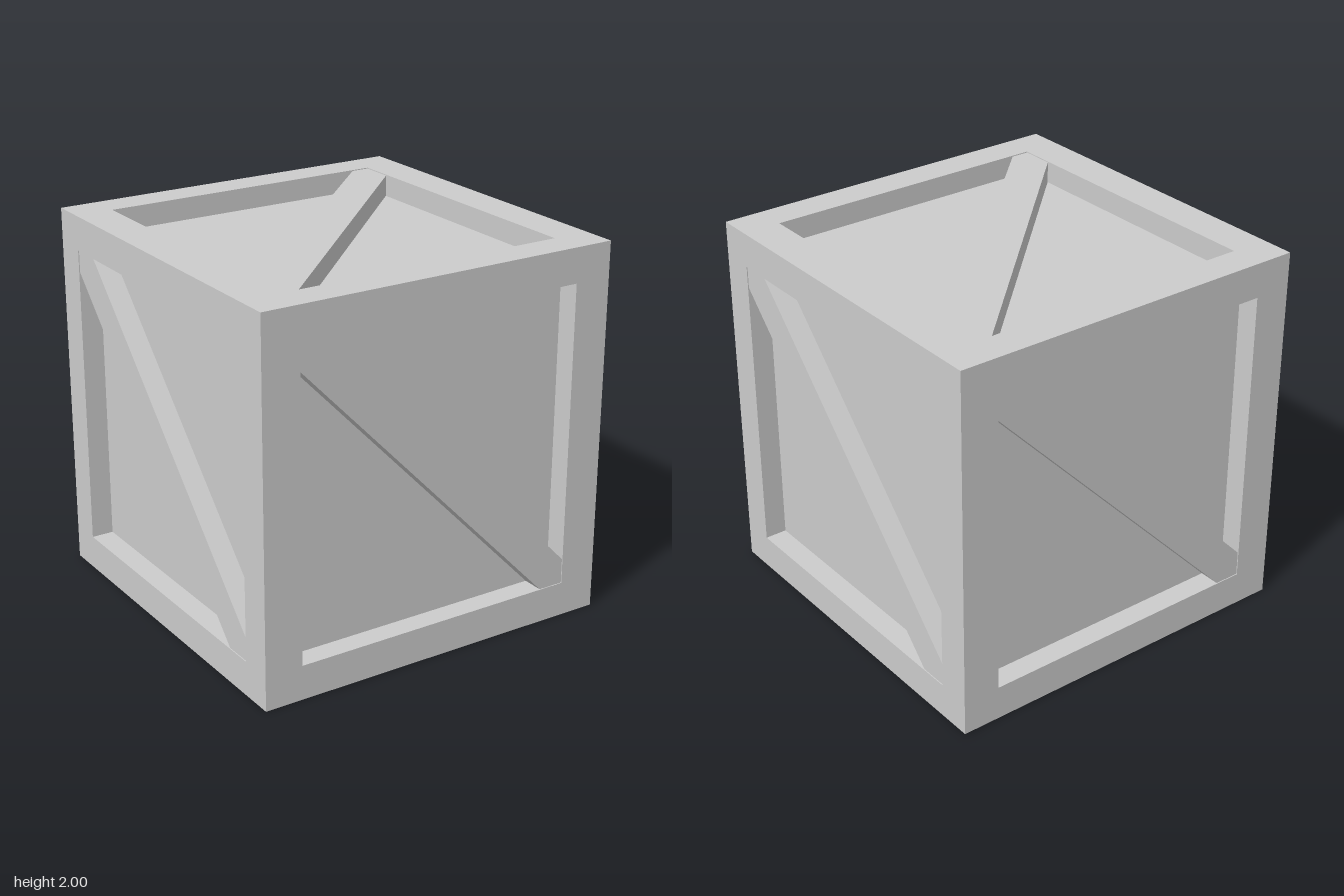
import * as THREE from 'three';

export function createModel() {
  const crate = new THREE.Group();
  crate.name = 'crate';
  const grey = new THREE.MeshStandardMaterial({ color: 0xcccccc });
  grey.name = 'plain grey';

  // Half sizes of the opening in the frame along each axis
  const ix = 0.795, iy = 0.815, iz = 0.82;
  const panelDepth = 0.12, braceInset = 0.005;

  const body = new THREE.Group();
  body.name = 'body';
  body.position.y = 1;
  crate.add(body);

  function add(name, geometry, x = 0, y = 0, z = 0) {
    const mesh = new THREE.Mesh(geometry, grey);
    mesh.name = name;
    mesh.position.set(x, y, z);
    body.add(mesh);
    return mesh;
  }

  // Recessed panels: the six sides of one inner box
  const core = 2 * (1 - panelDepth);
  add('panels', new THREE.BoxGeometry(core, core, core));

  // Frame: four posts, four rails along x, four rails along z
  const tx = 1 - ix, ty = 1 - iy, tz = 1 - iz;
  for (const a of [-1, 1]) {
    for (const b of [-1, 1]) {
      add('cornerPost', new THREE.BoxGeometry(tx, 2, tz), a * (1 - tx / 2), 0, b * (1 - tz / 2));
      add('crossRail', new THREE.BoxGeometry(2 * ix, ty, tz), 0, a * (1 - ty / 2), b * (1 - tz / 2));
      add('sideRail', new THREE.BoxGeometry(tx, ty, 2 * iz), a * (1 - tx / 2), b * (1 - ty / 2), 0);
    }
  }

  // Diagonal brace filling two corners of an opening; slope +1 rises to the right
  function brace(name, hu, hv, cutU, cutV, slope, rx, ry) {
    const points = [
      [-hu, -hv], [-hu + cutU, -hv], [hu, hv - cutV],
      [hu, hv], [hu - cutU, hv], [-hu, -hv + cutV],
    ].map(([u, v]) => new THREE.Vector2(u, v * slope));
    const depth = panelDepth - braceInset + 0.01;
    const geometry = new THREE.ExtrudeGeometry(new THREE.Shape(points), { depth, bevelEnabled: false });
    geometry.translate(0, 0, 1 - braceInset - depth);
    add(name, geometry).rotation.set(rx, ry, 0);
  }

  const h = Math.PI / 2;
  brace('frontBrace', ix, iy, 0.14, 0.135, -1, 0, 0);
  brace('backBrace', ix, iy, 0.14, 0.135, -1, 0, 2 * h);
  brace('leftBrace', iz, iy, 0.16, 0.118, -1, 0, h);
  brace('rightBrace', iz, iy, 0.16, 0.118, -1, 0, -h);
  brace('topBrace', ix, iz, 0.1, 0.183, 1, -h, 0);
  brace('bottomBrace', ix, iz, 0.1, 0.183, 1, h, 0);

  return crate;
}
